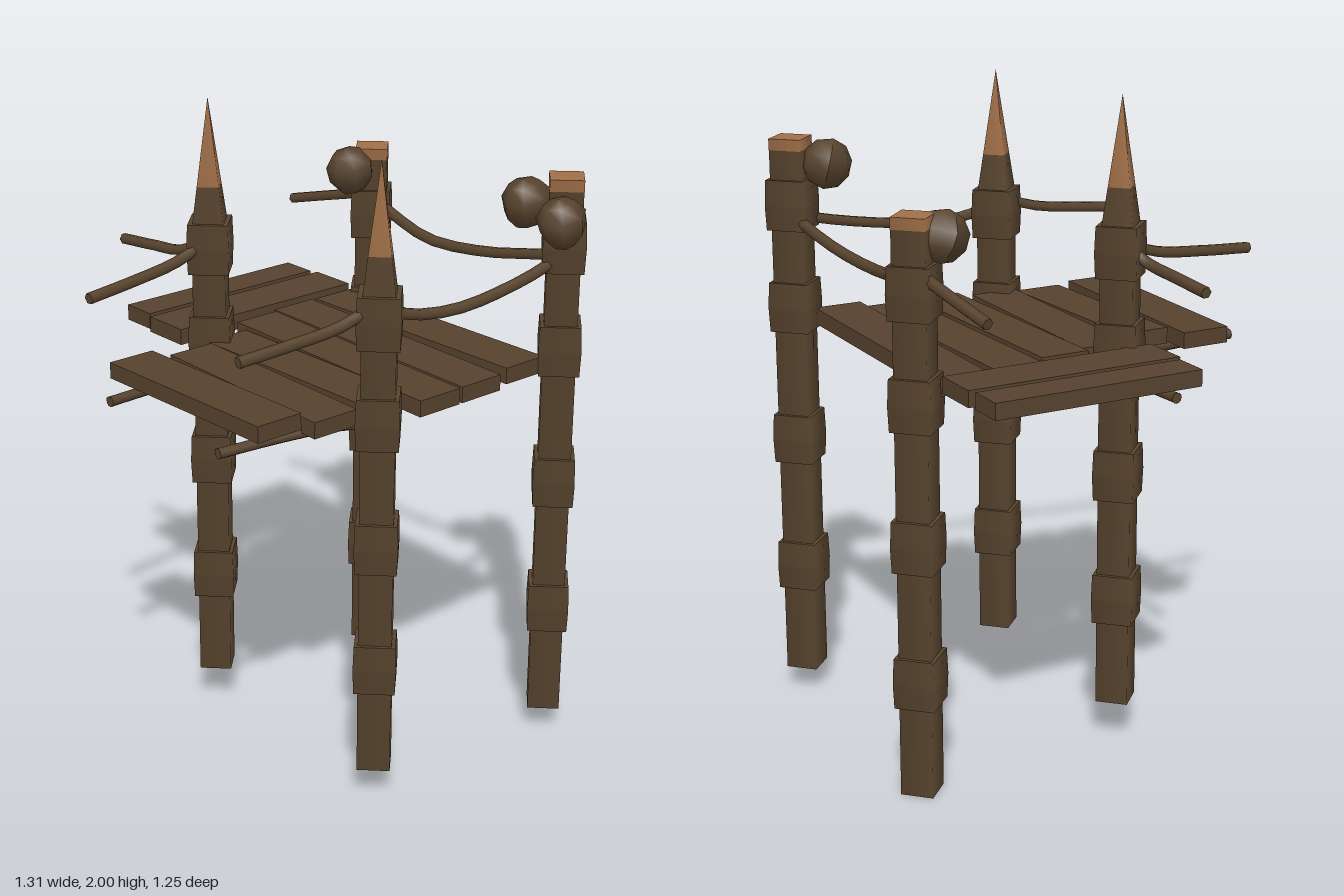
import * as THREE from 'three';

const mat = (name, color, side = THREE.FrontSide) => {
  const m = new THREE.MeshStandardMaterial({ color, side });
  m.name = name;
  return m;
};

export function createModel() {
  const bark = mat('bark', 0x58442e);
  const plankWood = mat('plank wood', 0x56422e);
  const ropeMat = mat('branch', 0x58442e, THREE.DoubleSide);
  const cutWood = mat('cut wood', 0xa06f48);
  const root = new THREE.Group();
  root.name = 'platform';

  const add = (parent, name, geometry, material, x = 0, y = 0, z = 0) => {
    const m = new THREE.Mesh(geometry, material);
    m.name = name;
    m.position.set(x, y, z);
    parent.add(m);
    return m;
  };

  // Four-sided segment standing corner-on, from y0 to y1
  const segment = (parent, name, r0, r1, y0, y1, material, open = false) =>
    add(parent, name, new THREE.CylinderGeometry(r1, r0, y1 - y0, 4, 1, open), material, 0, (y0 + y1) / 2, 0);

  // Post with four thick bands; the head is a spike or a sawn-off top
  const makePost = (name, x, z, bottom, bands, top, spiked) => {
    const post = new THREE.Group();
    post.name = name;
    post.position.set(x, 0, z);
    root.add(post);
    const shaftTop = spiked ? bands[3] + 0.1 : top - 0.035;
    segment(post, 'shaft', 0.07, 0.07, bottom, shaftTop, bark);
    for (const b of bands) {
      segment(post, 'band', 0.086, 0.09, b, b + 0.075, bark);
      segment(post, 'band', 0.09, 0.086, b + 0.075, b + 0.155, bark);
    }
    if (spiked) {
      const base = bands[3] + 0.155;
      const split = base + 0.11;
      const r = 0.066 * (top - split) / (top - base);
      segment(post, 'spikeBase', 0.066, r, base, split, bark);
      segment(post, 'spikeTip', r, 0, split, top, cutWood);
    } else {
      segment(post, 'sawnTop', 0.071, 0.071, shaftTop, top, cutWood);
    }
  };
  makePost('frontRightPost', -0.285, 0.15, 0.13, [0.395, 0.79, 1.18, 1.47], 2.0, true);
  makePost('frontLeftPost', 0.475, 0.15, 0.1, [0.365, 0.755, 1.14, 1.44], 1.97, true);
  makePost('backRightPost', -0.318, -0.533, 0, [0.28, 0.7, 1.12, 1.44], 1.73, false);
  makePost('backLeftPost', 0.522, -0.533, 0.08, [0.36, 0.785, 1.21, 1.53], 1.81, false);

  // Deck planks across: x0, x1, z0, z1, centre height, roll
  const plank = (x0, x1, z0, z1, y, roll) => {
    const p = add(root, 'plank', new THREE.BoxGeometry(x1 - x0, 0.05, z1 - z0), plankWood,
      (x0 + x1) / 2, y, (z0 + z1) / 2);
    p.rotation.z = roll;
  };
  [
    [-0.34, 0.52, -0.47, -0.315, 1.238, 0.012],
    [-0.335, 0.515, -0.295, -0.14, 1.232, -0.012],
    [-0.31, 0.52, -0.125, 0.03, 1.235, -0.015],
    [-0.255, 0.435, 0.04, 0.195, 1.236, 0.01],
    [-0.21, 0.45, 0.21, 0.365, 1.236, -0.02],
    [-0.28, 0.41, 0.38, 0.535, 1.245, 0.015],
    // side planks running front to back
    [-0.65, -0.535, -0.46, 0.2, 1.247, 0],
    [-0.512, -0.355, -0.47, 0.215, 1.247, 0],
  ].forEach((p) => plank(...p));

  // Thin branches along smooth paths
  const branch = (name, points) => {
    const curve = new THREE.CatmullRomCurve3(points.map((p) => new THREE.Vector3(...p)));
    add(root, name, new THREE.TubeGeometry(curve, 10, 0.017, 6), ropeMat);
    // closed ends
    for (const t of [0, 1]) {
      const cap = add(root, name + 'End', new THREE.CircleGeometry(0.017, 6), ropeMat);
      cap.position.copy(curve.getPoint(t));
      cap.lookAt(cap.position.clone().add(curve.getTangent(t)));
    }
  };
  branch('backRail', [[-0.318, 1.565, -0.533], [-0.2, 1.53, -0.52], [0, 1.5, -0.495], [0.22, 1.512, -0.51], [0.4, 1.545, -0.528], [0.52, 1.57, -0.533]]);
  branch('leftRail', [[0.522, 1.57, -0.533], [0.528, 1.53, -0.35], [0.52, 1.5, -0.12], [0.497, 1.505, 0.02], [0.475, 1.54, 0.15]]);
  branch('backRailStub', [[-0.318, 1.575, -0.533], [-0.48, 1.535, -0.51], [-0.65, 1.492, -0.482]]);
  branch('sideRailStub', [[-0.285, 1.57, 0.15], [-0.37, 1.52, 0.19], [-0.5, 1.505, 0.2], [-0.65, 1.492, 0.206]]);
  branch('frontRailStub', [[-0.285, 1.57, 0.15], [-0.275, 1.525, 0.28], [-0.26, 1.505, 0.45], [-0.245, 1.492, 0.625]]);
  branch('frontRailStub', [[0.475, 1.57, 0.15], [0.47, 1.525, 0.28], [0.455, 1.505, 0.45], [0.44, 1.492, 0.625]]);
  // Supports poking out from under the deck
  branch('deckSupport', [[-0.27, 1.2, 0.15], [-0.2, 1.2, 0.27], [-0.17, 1.2, 0.42], [-0.158, 1.2, 0.625]]);
  branch('deckSupport', [[0.45, 1.2, 0.15], [0.4, 1.2, 0.27], [0.37, 1.2, 0.42], [0.347, 1.2, 0.625]]);
  branch('deckSupport', [[-0.285, 1.2, 0.14], [-0.45, 1.2, 0.108], [-0.65, 1.2, 0.116]]);

  // Gnarled knots on the back posts, narrowing towards the bottom front
  const knot = (x, y, z, yaw) => {
    const g = new THREE.SphereGeometry(0.078, 7, 5);
    const p = g.attributes.position;
    for (let i = 0; i < p.count; i++) {
      const k = 1 - Math.max(0, -p.getY(i) * 4);
      p.setX(i, p.getX(i) * k);
      p.setZ(i, p.getZ(i) * (p.getZ(i) < 0 ? 1.1 : 0.95));
    }
    g.computeVertexNormals();
    add(root, 'knot', g, bark, x, y, z).rotation.set(0.25, yaw, 0);
  };
  knot(-0.325, 1.66, -0.445, 0);
  knot(0.452, 1.73, -0.44, -0.4);
  knot(0.582, 1.695, -0.455, 0.6);

  return root;
}
